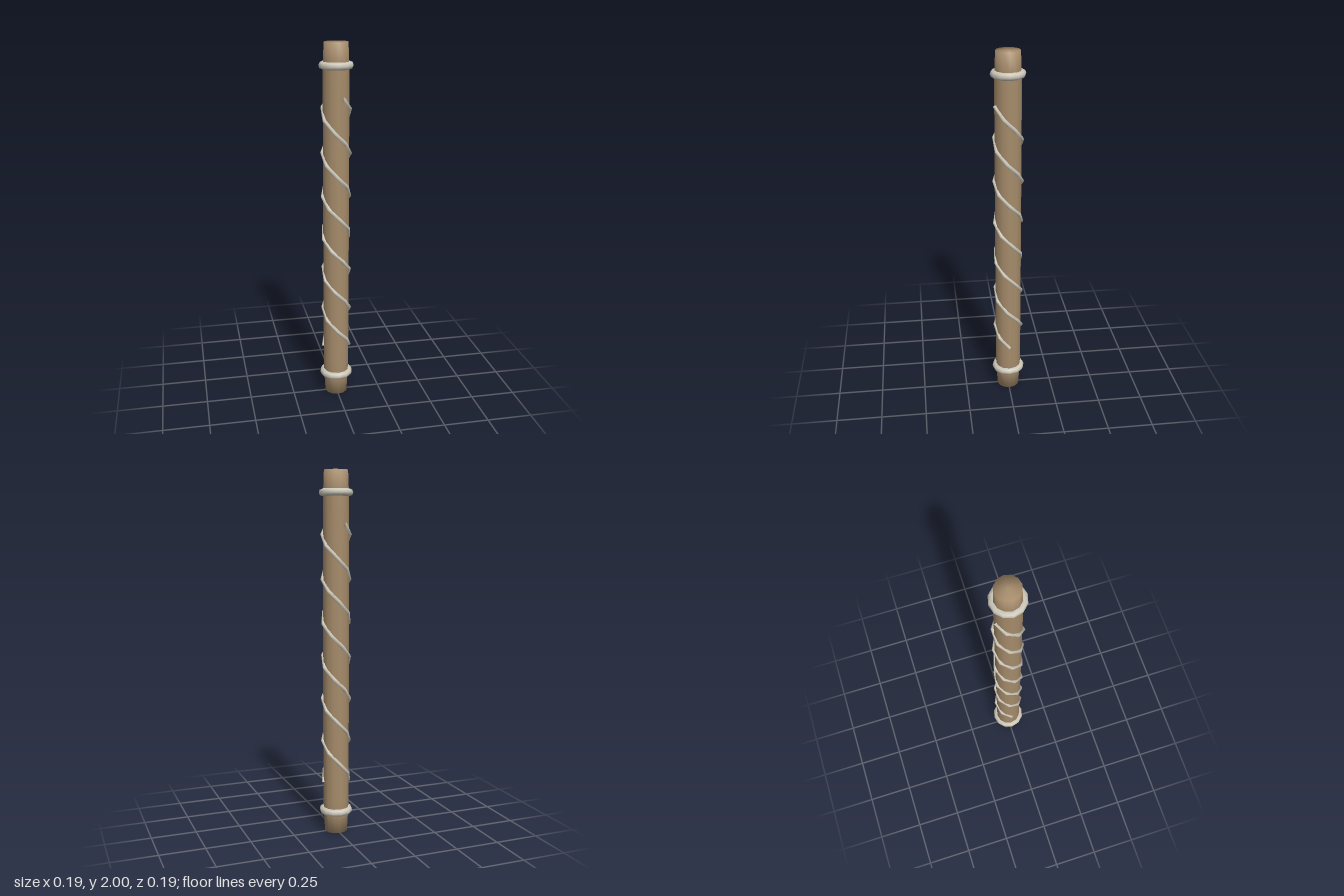
import * as THREE from 'three';

const wood = new THREE.MeshStandardMaterial({ color: 0xa68c6b });
wood.name = 'wood';
const rope = new THREE.MeshStandardMaterial({ color: 0xcdc8ba });
rope.name = 'pale rope';

// Helical cord rising from the rod's side
class Helix extends THREE.Curve {
  constructor(radius, y0, y1, turns, start) {
    super();
    Object.assign(this, { radius, y0, y1, turns, start });
  }
  getPoint(t, target = new THREE.Vector3()) {
    const a = this.start + t * this.turns * Math.PI * 2;
    return target.set(Math.cos(a) * this.radius, this.y0 + t * (this.y1 - this.y0), Math.sin(a) * this.radius);
  }
}

export function createModel() {
  const group = new THREE.Group();
  group.name = 'wrappedRod';
  const add = (name, geometry, material) => {
    const mesh = new THREE.Mesh(geometry, material);
    mesh.name = name;
    group.add(mesh);
    return mesh;
  };

  // Rod, narrowing slightly at both ends, with softly shaded caps
  const profile = [
    [0, 0], [0.063, 0], [0.069, 0.1], [0.072, 0.2], [0.072, 1],
    [0.071, 1.8], [0.069, 1.9], [0.065, 2], [0, 2],
  ].map(([r, y]) => new THREE.Vector2(r, y));
  add('rod', new THREE.LatheGeometry(profile, 12), wood);

  // Ring near each end
  for (const [name, y] of [['lowerRing', 0.122], ['upperRing', 1.882]]) {
    const ring = add(name, new THREE.TorusGeometry(0.073, 0.02, 8, 12), rope);
    ring.rotation.x = Math.PI / 2;
    ring.position.y = y;
  }

  // Two cords half a turn apart
  for (const [name, start] of [['cordA', 0], ['cordB', Math.PI]]) {
    const path = new Helix(0.074, 0.285, 1.72, 3.2, start);
    add(name, new THREE.TubeGeometry(path, 24, 0.011, 6), rope);
  }
  return group;
}
